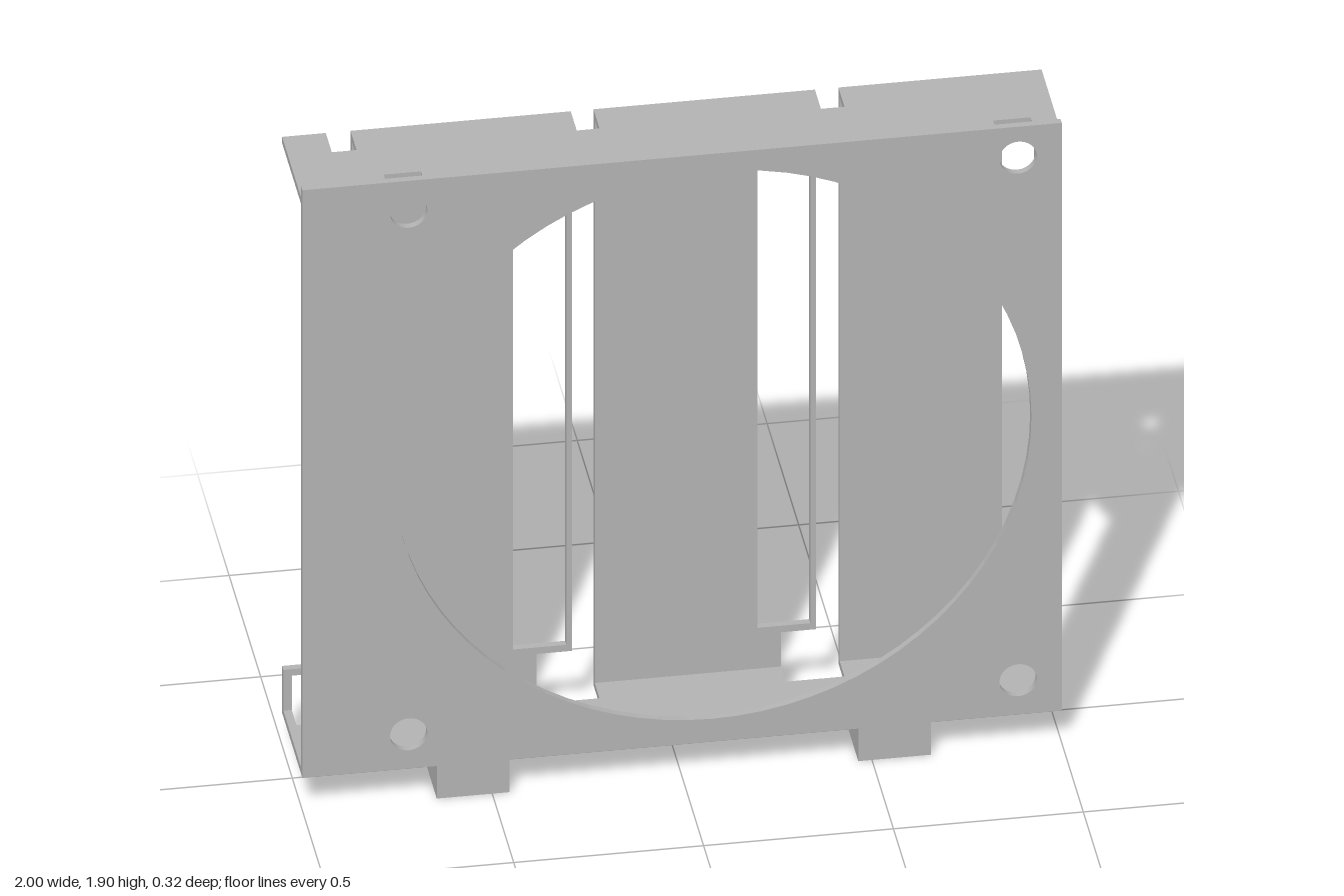
import * as THREE from 'three';

const T = 0.02;                       // sheet thickness
const X = 1, ZB = -0.16, ZF = 0.16;   // half width, back and front planes
const BOTTOM = 0.1, TOP = 1.87, LIP = 1.905;
const SILL = 0.245;                   // lower edge of the slot windows
const NOTCH_Z = -0.065;               // how far the slots bite into roof and floor
const SLOTS = [[-0.885, -0.82], [-0.24, -0.18], [0.403, 0.465]];
const FOOT_CUT = 0.093;               // extra slot width at floor level

const polygon = (pts) => new THREE.Shape(pts.map(([x, y]) => new THREE.Vector2(x, y)));
const rect = (x0, y0, x1, y1) => polygon([[x0, y0], [x1, y0], [x1, y1], [x0, y1]]);
const circle = (x, y, r) => new THREE.Path().absarc(x, y, r, 0, Math.PI * 2, true);

export function createModel() {
  const group = new THREE.Group();
  const grey = new THREE.MeshStandardMaterial({ color: 0xb3b3b3 });
  grey.name = 'greyPlastic';

  const extrude = (name, shape, depth) => {
    const geo = new THREE.ExtrudeGeometry(shape, { depth, bevelEnabled: false, curveSegments: 40 });
    const mesh = new THREE.Mesh(geo, grey);
    mesh.name = name;
    group.add(mesh);
    return mesh;
  };
  // upright sheet drawn in x, y
  const upright = (name, shape, z) => { extrude(name, shape, T).position.z = z; };
  // horizontal sheet drawn in x, z
  const level = (name, shape, yTop, depth = T) => {
    const m = extrude(name, shape, depth);
    m.rotation.x = Math.PI / 2;
    m.position.y = yTop;
  };

  // front plate with the fan opening and four screw holes
  const front = rect(-X, BOTTOM, X, LIP);
  front.holes.push(circle(0.08, 1.01, 0.84));
  for (const x of [-0.72, 0.885])
    for (const y of [0.205, 1.81]) front.holes.push(circle(x, y, 0.049));
  upright('frontPlate', front, ZF - T);

  // outline of roof or floor, notched along the back edge
  const notched = (extra) => {
    const pts = [[-X, ZF - T], [-X, ZB]];
    for (const [a, b] of SLOTS)
      pts.push([a - extra, ZB], [a - extra, NOTCH_Z], [b, NOTCH_Z], [b, ZB]);
    pts.push([X, ZB], [X, ZF - T]);
    return polygon(pts);
  };

  // roof with two nut slots
  const roof = notched(0);
  for (const x of [-0.77, 0.835]) roof.holes.push(rect(x, 0.065, x + 0.098, 0.132));
  level('roof', roof, TOP);

  // floor and mounting feet, sharing their screw holes
  const floor = notched(FOOT_CUT);
  for (const x of [-0.55, 0.56]) {
    const foot = rect(x - 0.096, 0, x + 0.096, ZF);
    foot.holes.push(circle(x, 0.08, 0.033));
    floor.holes.push(circle(x, 0.08, 0.033));
    level('mountingFoot', foot, BOTTOM, BOTTOM);
  }
  level('floor', floor, BOTTOM + T);

  // closed side wall
  const side = new THREE.Mesh(
    new THREE.BoxGeometry(T, TOP - BOTTOM - 2 * T, ZF - ZB - 2 * T), grey);
  side.name = 'sideWall';
  side.position.set(X - T / 2, (TOP + BOTTOM) / 2, 0);
  group.add(side);

  // back panels between slots: tall window, thin strip, cut-out under the sill
  const y0 = BOTTOM + T, y1 = TOP - T;
  for (let i = 0; i < 2; i++) {
    const a = SLOTS[i][1], b = SLOTS[i + 1][0], c = b - FOOT_CUT;
    const panel = polygon([[a, y0], [c, y0], [c, SILL - T], [b, SILL - T], [b, y1], [a, y1]]);
    panel.holes.push(rect(b - 0.155, SILL, b - 0.015, y1 - 0.003));
    upright('backPanel', panel, ZB);
  }
  const last = rect(SLOTS[2][1], y0, X, y1);
  last.holes.push(rect(0.893, SILL, X - T, y1 - 0.003));
  upright('backPanel', last, ZB);

  // bracket strip at the open end
  const s = SLOTS[0][0], c = s - FOOT_CUT;
  upright('endBracket', polygon([
    [-X, y0], [c, y0], [c, SILL - T], [s, SILL - T], [s, y1],
    [s - 0.015, y1], [s - 0.015, SILL], [-X, SILL],
  ]), ZB);

  return group;
}
